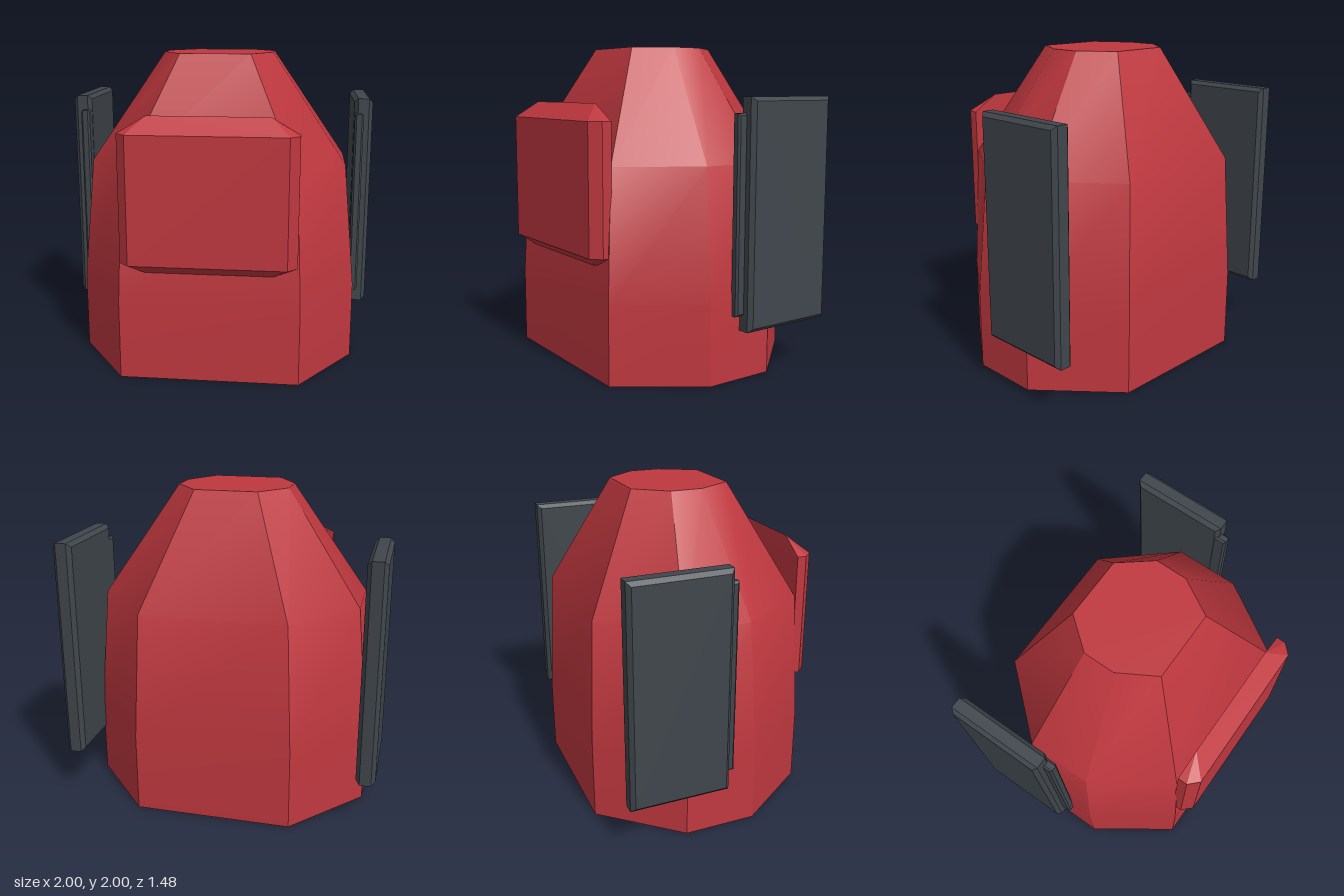
import * as THREE from 'three';
import { toCreasedNormals } from 'three/addons/utils/BufferGeometryUtils.js';
import { ConvexGeometry } from 'three/addons/geometries/ConvexGeometry.js';

const red = new THREE.MeshStandardMaterial({ color: 0xbf383f });
red.name = 'red';
const slate = new THREE.MeshStandardMaterial({ color: 0x40464c });
slate.name = 'slate';

function addMesh(parent, name, geometry, material) {
  const mesh = new THREE.Mesh(geometry, material);
  mesh.name = name;
  parent.add(mesh);
  return mesh;
}

// Octagonal rings, lofted from the bottom up; each half [x, z] runs front to back
function bodyGeometry() {
  const base = [[0.56, 0.66], [0.9, 0.17], [0.9, -0.28], [0.49, -0.74]];
  const shoulder = [[0.53, 0.62], [0.825, 0.15], [0.825, -0.27], [0.455, -0.7]];
  const crown = [[0.22, 0.27], [0.35, 0.045], [0.35, -0.155], [0.195, -0.35]];
  const levels = [[0, base], [0.5, base], [1.3, shoulder], [2, crown]];
  const rings = levels.map(([y, half]) => [
    ...half.map(([x, z]) => [x, y, z]),
    ...half.slice().reverse().map(([x, z]) => [-x, y, z]),
  ]);
  const pos = [];
  const n = 8;
  for (let r = 0; r < rings.length - 1; r++) {
    for (let i = 0; i < n; i++) {
      const j = (i + 1) % n;
      const a = rings[r][i], b = rings[r][j], c = rings[r + 1][j], d = rings[r + 1][i];
      pos.push(...a, ...b, ...c, ...a, ...c, ...d);
    }
  }
  // Flat caps
  const bottom = rings[0], top = rings[rings.length - 1];
  for (let i = 1; i < n - 1; i++) {
    pos.push(...top[0], ...top[i], ...top[i + 1]);
    pos.push(...bottom[0], ...bottom[i + 1], ...bottom[i]);
  }
  const g = new THREE.BufferGeometry();
  g.setAttribute('position', new THREE.Float32BufferAttribute(pos, 3));
  return toCreasedNormals(g, Math.PI / 6);
}

// Chest plate with bevelled sides and tapering top and bottom
function chestGeometry() {
  const pts = [];
  for (const s of [-1, 1]) {
    for (const y of [0.765, 1.56]) {
      pts.push(new THREE.Vector3(s * 0.54, y, 0.62));
      pts.push(new THREE.Vector3(s * 0.54, y, 0.68));
      pts.push(new THREE.Vector3(s * 0.48, y, 0.74));
    }
    for (const y of [0.68, 1.66]) pts.push(new THREE.Vector3(s * 0.37, y, 0.625));
  }
  return new ConvexGeometry(pts);
}

// Slab across x whose inner and outer faces are chamfered all round
function slabGeometry(x0, x1, y0, y1, z0, z1, c) {
  const pts = [];
  for (const [x, inset] of [[x0, c], [x0 + c, 0], [x1 - c, 0], [x1, c]]) {
    for (const y of [y0 + inset, y1 - inset]) {
      for (const z of [z0 + inset, z1 - inset]) pts.push(new THREE.Vector3(x, y, z));
    }
  }
  return new ConvexGeometry(pts);
}

export function createModel() {
  const model = new THREE.Group();
  model.name = 'armouredTorso';
  addMesh(model, 'body', bodyGeometry(), red);
  addMesh(model, 'chestPlate', chestGeometry(), red);

  // Side panels, mirrored left and right
  for (const [s, side] of [[1, 'left'], [-1, 'right']]) {
    const panel = new THREE.Group();
    panel.name = side + 'SidePanel';
    const span = (a, b) => (s > 0 ? [a, b] : [-b, -a]);
    addMesh(panel, side + 'Slab', slabGeometry(...span(0.88, 1), 0.31, 1.7, -0.67, -0.045, 0.025), slate);
    addMesh(panel, side + 'InnerStrip', slabGeometry(...span(0.882, 0.94), 0.405, 1.605, -0.6, 0.01, 0.012), slate);
    model.add(panel);
  }
  return model;
}
